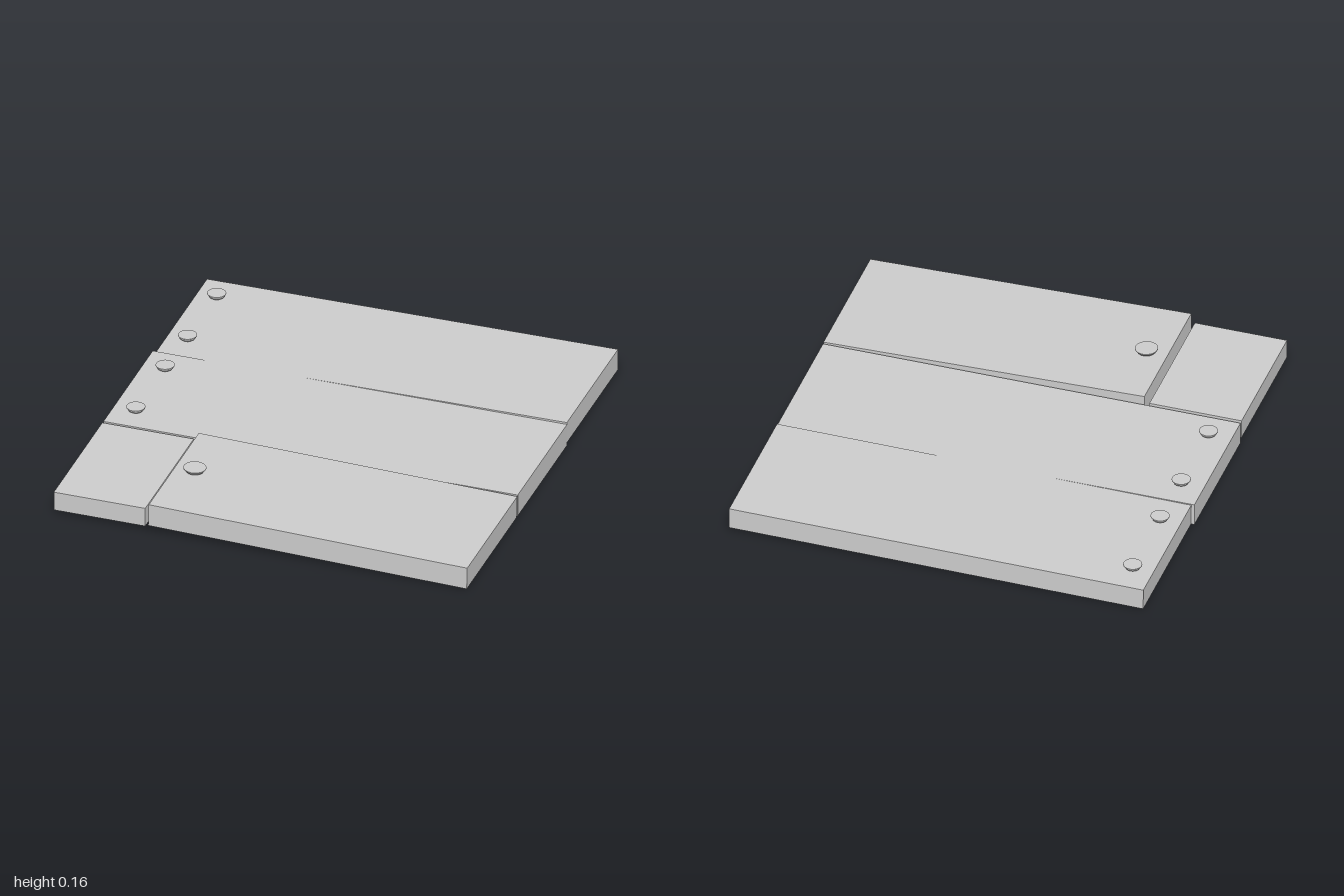
import * as THREE from 'three';

const shellMaterial = new THREE.MeshStandardMaterial({ color: 0xcccccc, side: THREE.DoubleSide, flatShading: true });
const knobMaterial = new THREE.MeshStandardMaterial({ color: 0xcccccc, flatShading: true });

// Thin-walled panel, open underneath, with its lower left front-to-back edge on x = 0
function panelGeometry(width, height, depth) {
  const geometry = new THREE.BoxGeometry(width, height, depth);
  const index = Array.from(geometry.index.array);
  index.splice(18, 6); // remove the bottom face
  geometry.setIndex(index);
  geometry.clearGroups();
  return geometry.translate(width / 2, height / 2, 0);
}

// Knob with a screw stem through the panel, a short neck and a flared head
function makeKnob(radius) {
  const profile = [
    [0, -0.03], [0.018, -0.03], [0.018, 0], [radius * 0.6, 0.003],
    [radius * 0.6, 0.008], [radius * 0.8, 0.009], [radius, 0.022], [radius, 0.025], [0, 0.025],
  ].map(([x, y]) => new THREE.Vector2(x, y));
  const knob = new THREE.Mesh(new THREE.LatheGeometry(profile, 20), knobMaterial);
  knob.name = 'knob';
  return knob;
}

function makePanel({ name, x, y, z, width, height, depth, tilt = 0, knobs = [], knobX = 0, knobRadius = 0.042 }) {
  const group = new THREE.Group();
  group.name = name;
  const shell = new THREE.Mesh(panelGeometry(width, height, depth), shellMaterial);
  shell.name = name + 'Shell';
  group.add(shell);
  for (const knobZ of knobs) {
    const knob = makeKnob(knobRadius);
    knob.position.set(knobX - x, height, knobZ - z);
    group.add(knob);
  }
  group.position.set(x, y, z);
  group.rotation.z = tilt;
  return group;
}

export function createModel() {
  const model = new THREE.Group();
  model.name = 'panelSet';
  const panels = [
    // back panel, rising slightly to the left
    { name: 'backPanel', x: -0.95, y: 0, z: -0.6625, width: 1.91, height: 0.101, depth: 0.675,
      tilt: 0.0075, knobs: [-0.86, -0.475], knobX: -0.855 },
    // level middle panel
    { name: 'middlePanel', x: -0.965, y: 0, z: 0, width: 1.925, height: 0.106, depth: 0.65,
      knobs: [-0.19, 0.195], knobX: -0.86 },
    // short panel in the front right corner
    { name: 'smallPanel', x: -0.965, y: 0.018, z: 0.66, width: 0.425, height: 0.09, depth: 0.64 },
    // front panel, propped up at its knob end
    { name: 'frontPanel', x: -0.52, y: 0.035, z: 0.6675, width: 1.48, height: 0.106, depth: 0.66,
      tilt: -0.0237, knobs: [0.66], knobX: -0.425, knobRadius: 0.051 },
  ];
  for (const panel of panels) model.add(makePanel(panel));
  return model;
}
